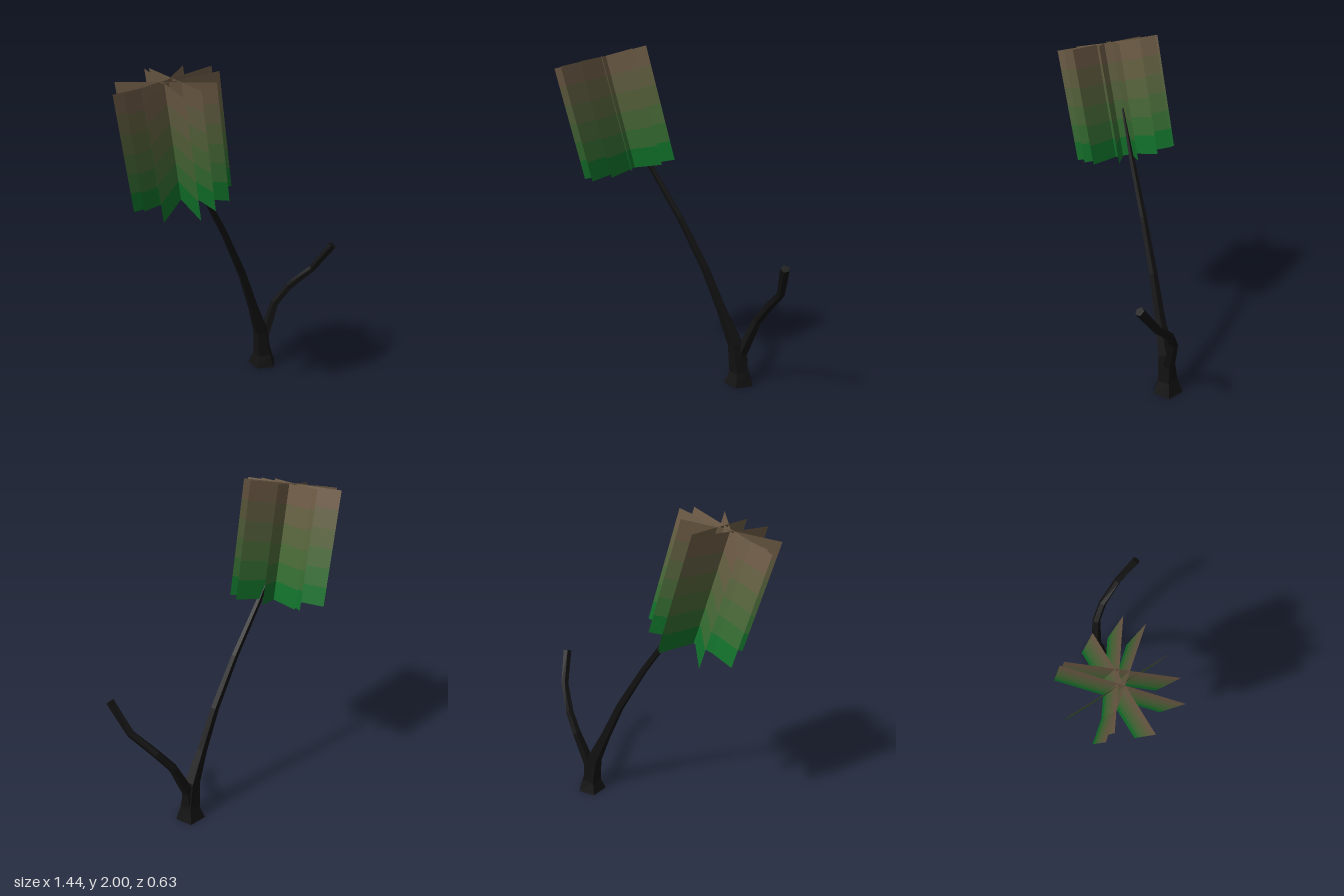
import * as THREE from 'three';
import { mergeGeometries } from 'three/addons/utils/BufferGeometryUtils.js';

const SIDES = 5;

// Tapered five-sided limb; each station is [x, y, z, radius].
function limbGeometry(stations) {
  const centres = stations.map(([x, y, z]) => new THREE.Vector3(x, y, z));
  const last = centres.length - 1;
  const positions = [];
  const index = [];
  centres.forEach((c, i) => {
    const t = centres[Math.min(i + 1, last)].clone().sub(centres[Math.max(i - 1, 0)]).normalize();
    const u = new THREE.Vector3(0, 0, 1).addScaledVector(t, -t.z).normalize();
    const v = t.clone().cross(u);
    for (let j = 0; j < SIDES; j++) {
      const a = (j / SIDES) * Math.PI * 2;
      const p = c.clone()
        .addScaledVector(u, Math.cos(a) * stations[i][3])
        .addScaledVector(v, Math.sin(a) * stations[i][3]);
      positions.push(p.x, p.y, p.z);
    }
  });
  for (let i = 0; i < last; i++) {
    for (let j = 0; j < SIDES; j++) {
      const k = (j + 1) % SIDES;
      const a = i * SIDES + j, b = i * SIDES + k;
      index.push(a, b, b + SIDES, a, b + SIDES, a + SIDES);
    }
  }
  // End caps
  for (let j = 1; j < SIDES - 1; j++) {
    index.push(0, j + 1, j);
    index.push(last * SIDES, last * SIDES + j, last * SIDES + j + 1);
  }
  const g = new THREE.BufferGeometry();
  g.setAttribute('position', new THREE.Float32BufferAttribute(positions, 3));
  g.setIndex(index);
  const flat = g.toNonIndexed();
  flat.computeVertexNormals();
  return flat;
}

// Foliage: flat cards crossing on a tilted axis, given by their top corners [x1, z1, x2, z2].
const CARDS = [
  [-0.593, -0.25, -0.356, 0.26],
  [-0.37, -0.267, -0.597, 0.28],
  [-0.355, -0.245, -0.48, 0.275],
  [-0.717, 0.124, -0.24, -0.1],
  [-0.725, -0.105, -0.22, 0.15],
  [-0.69, -0.06, -0.175, 0.05],
];
const DROP = new THREE.Vector3(0.152, -0.65, -0.052);

// Top corners lie on the plane square to the tilted axis.
const topCorner = (x, z) =>
  new THREE.Vector3(x, 1.94 + 0.23 * (x + 0.445) - 0.077 * (z - 0.012), z);

// Strip of a card between two fractions of its height
function cardStrip([x1, z1, x2, z2], from, to) {
  const p = topCorner(x1, z1), q = topCorner(x2, z2);
  const corners = [
    p.clone().addScaledVector(DROP, to), q.clone().addScaledVector(DROP, to),
    q.clone().addScaledVector(DROP, from), p.clone().addScaledVector(DROP, from),
  ];
  const g = new THREE.BufferGeometry().setFromPoints(corners);
  g.setIndex([0, 1, 2, 0, 2, 3]);
  g.computeVertexNormals();
  return g;
}

export function createModel() {
  const tree = new THREE.Group();
  tree.name = 'tree';

  const bark = new THREE.MeshStandardMaterial({ color: 0x111111, flatShading: true });
  const addLimb = (name, stations) => {
    const mesh = new THREE.Mesh(limbGeometry(stations), bark);
    mesh.name = name;
    tree.add(mesh);
  };

  // Leaning trunk with a flared foot
  addLimb('trunk', [
    [0.383, 0, -0.025, 0.094],
    [0.383, 0.08, -0.025, 0.063],
    [0.355, 0.25, -0.022, 0.048],
    [0.27, 0.45, -0.02, 0.032],
    [0.165, 0.7, -0.02, 0.026],
    [0.005, 1.0, -0.022, 0.021],
    [-0.18, 1.3, -0.026, 0.017],
    [-0.33, 1.57, -0.03, 0.008],
  ]);

  // Bare side branch bending forward
  addLimb('branch', [
    [0.383, 0.08, -0.025, 0.06],
    [0.395, 0.2, -0.025, 0.038],
    [0.485, 0.41, -0.01, 0.028],
    [0.56, 0.52, 0.045, 0.026],
    [0.653, 0.65, 0.16, 0.024],
    [0.692, 0.83, 0.285, 0.027],
  ]);

  // Foliage in stacked bands, fading from brown tips to green
  const foliage = new THREE.Group();
  foliage.name = 'foliage';
  const bands = 6;
  const tip = new THREE.Color(0x6e5c46), base = new THREE.Color(0x11702a);
  for (let i = 0; i < bands; i++) {
    const strips = CARDS.map((card) => cardStrip(card, i / bands, (i + 1) / bands));
    const material = new THREE.MeshStandardMaterial({
      color: tip.clone().lerp(base, i / (bands - 1)),
      side: THREE.DoubleSide,
    });
    const mesh = new THREE.Mesh(mergeGeometries(strips), material);
    mesh.name = `leafBand${i + 1}`;
    foliage.add(mesh);
  }
  tree.add(foliage);
  return tree;
}
